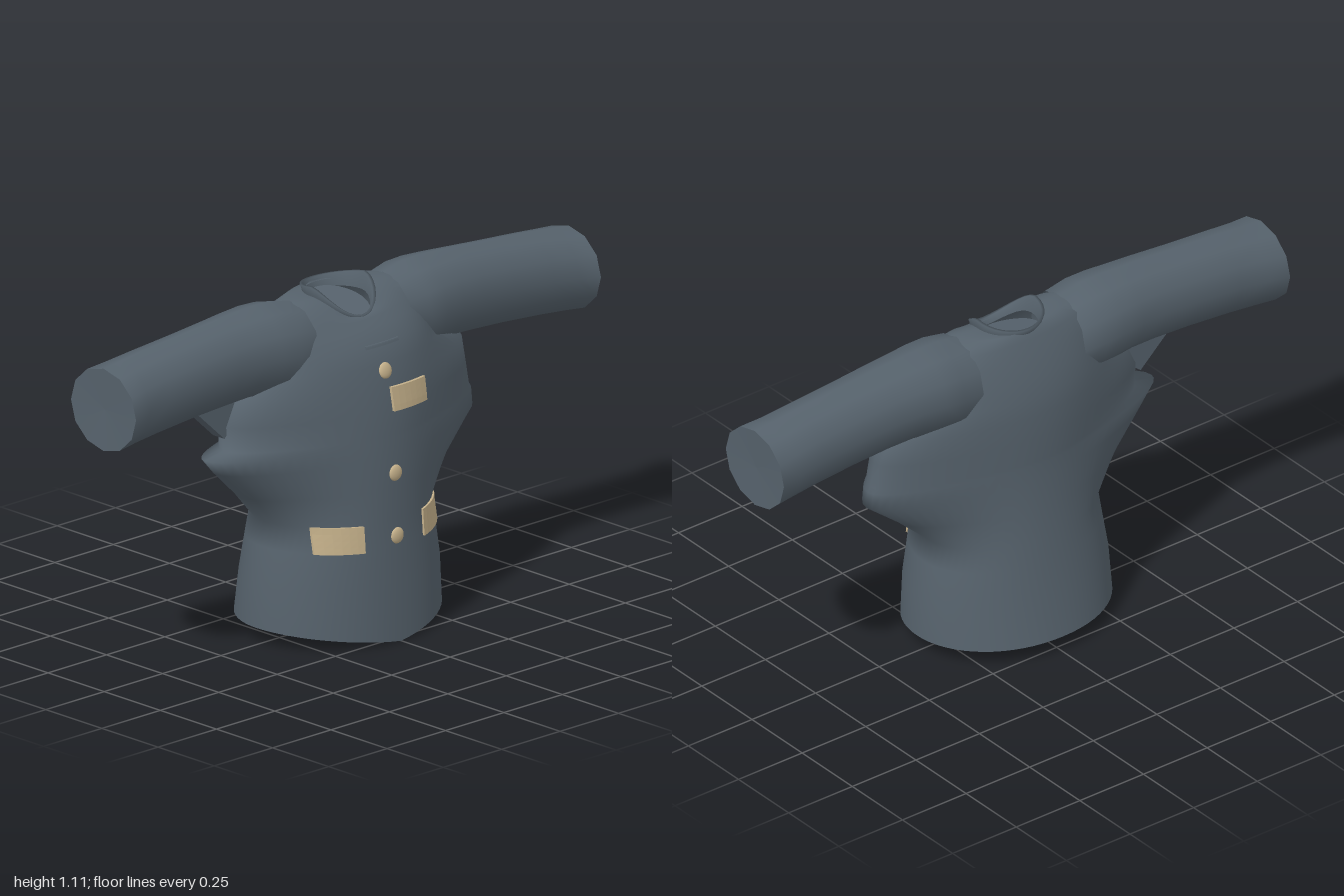
import * as THREE from 'three';

const cloth = new THREE.MeshStandardMaterial({ color: 0x56626c, side: THREE.DoubleSide });
const tan = new THREE.MeshStandardMaterial({ color: 0xc4b08a });

// Skins a list of closed rings of [x, y, z], leaving out faces wholly hidden
function loft(rings, hidden = () => false) {
  const n = rings[0].length, index = [], points = rings.flat();
  const face = (...f) => { if (!f.every(i => hidden(points[i]))) index.push(...f); };
  for (let r = 0; r < rings.length - 1; r++) {
    for (let i = 0; i < n; i++) {
      const a = r * n + i, b = r * n + (i + 1) % n;
      face(a, a + n, b);
      face(b, a + n, b + n);
    }
  }
  const g = new THREE.BufferGeometry();
  g.setAttribute('position', new THREE.Float32BufferAttribute(points.flat(), 3));
  g.setIndex(index);
  g.computeVertexNormals();
  return g;
}

const ring = (n, f) => Array.from({ length: n }, (_, i) => f(i / n * Math.PI * 2));

function add(parent, name, geometry, material) {
  const m = new THREE.Mesh(geometry, material);
  m.name = name;
  parent.add(m);
  return m;
}

// Body rows: y, half width, front z, back z, left fold, right fold, front dip
const rows = [
  [0.06, 0.35, 0.283, 0.282, 0, 0, 0],
  [0.2, 0.345, 0.275, 0.255, 0, 0, 0],
  [0.32, 0.325, 0.268, 0.237, 0, 0, 0],
  [0.4, 0.305, 0.264, 0.225, 0.01, 0.01, 0],
  [0.5, 0.3, 0.262, 0.212, 0.125, 0.115, 0],
  [0.6, 0.31, 0.256, 0.203, 0.24, 0.21, 0],
  [0.655, 0.31, 0.25, 0.2, 0.235, 0.26, 0],
  [0.67, 0.31, 0.249, 0.2, 0.225, 0.18, 0],
  [0.75, 0.325, 0.24, 0.198, 0.195, 0.17, 0],
  [0.83, 0.345, 0.224, 0.193, 0.16, 0.11, 0],
  [0.89, 0.35, 0.208, 0.184, 0.03, 0.03, 0],
  [0.95, 0.35, 0.186, 0.166, 0, 0, 0],
  [1.01, 0.335, 0.148, 0.144, 0, 0, 0.02],
  [1.06, 0.3, 0.126, 0.12, 0, 0, 0.045],
  [1.088, 0.2, 0.112, 0.106, 0, 0, 0.065],
  [1.083, 0.11, 0.104, 0.1, 0, 0, 0.062],
];

function bodyPoint([y, w, front, back, left, right, dip], a) {
  const c = Math.cos(a), s = Math.sin(a);
  const fold = (c > 0 ? left : -right) * Math.abs(c) ** 3.6;
  const hem = y < 0.1 && s > 0 ? 0.055 * (1 - Math.abs(c)) : 0;
  const x = Math.sign(c) * w * Math.abs(c) ** 0.96 + fold;
  return [x, y - hem - dip * Math.max(0, s) ** 2, s * (s > 0 ? front : back)];
}

// Depth of the front cloth at a given x and y
function frontZ(x, y) {
  let k = 0;
  while (k < rows.length - 2 && rows[k + 1][0] < y) k++;
  const t = (y - rows[k][0]) / (rows[k + 1][0] - rows[k][0]);
  const row = rows[k].map((v, i) => v + (rows[k + 1][i] - v) * t);
  let lo = 0, hi = Math.PI;
  for (let i = 0; i < 30; i++) {
    const mid = (lo + hi) / 2;
    if (bodyPoint(row, mid)[0] > x) lo = mid; else hi = mid;
  }
  return bodyPoint(row, lo)[2];
}

// Thin panel wrapped onto the front cloth
function panel(x, y, w, h, depth, slant = 0) {
  const g = new THREE.BoxGeometry(w, h, depth, 6, 4, 1).toNonIndexed();
  const p = g.attributes.position;
  for (let i = 0; i < p.count; i++) {
    const px = p.getX(i) + x, py = p.getY(i) + y + p.getX(i) * slant;
    p.setXYZ(i, px, py, p.getZ(i) + frontZ(px, py) + depth / 2 + 0.001);
  }
  g.computeVertexNormals();
  return g;
}

// Sleeve rows: x, centre y, radius y, radius z, centre z
const sleeveRows = [
  [0.2, 0.948, 0.142, 0.135, -0.006],
  [0.28, 0.957, 0.149, 0.144, -0.01],
  [0.35, 0.963, 0.145, 0.141, -0.012],
  [0.43, 0.965, 0.139, 0.132, -0.012],
  [0.52, 0.96, 0.138, 0.125, -0.01],
  [0.66, 0.95, 0.136, 0.122, -0.01],
  [0.82, 0.937, 0.136, 0.124, -0.01],
  [0.92, 0.927, 0.135, 0.131, -0.01],
  [0.995, 0.92, 0.134, 0.145, -0.008],
];

function sleeve(name) {
  const group = new THREE.Group();
  group.name = name;
  const rings = sleeveRows.map(([x, cy, ry, rz, cz]) =>
    ring(12, a => [x, cy + ry * Math.sin(a), cz + rz * Math.cos(a)]));
  add(group, 'sleeveTube', loft(rings), cloth);
  // Flat end of the cuff, sunk slightly at its middle
  const end = rings[rings.length - 1];
  add(group, 'cuffEnd', loft([end, end.map(() => [0.99, 0.92, -0.008])]), cloth);
  return group;
}

export function createModel() {
  const coat = new THREE.Group();
  coat.name = 'coat';

  // Body, left open where the sleeves join
  const inSleeve = ([x, y, z]) =>
    Math.abs(x) > 0.21 && ((y - 0.957) / 0.13) ** 2 + ((z + 0.01) / 0.12) ** 2 < 1;
  add(coat, 'body', loft(rows.map(r => ring(64, a => bodyPoint(r, a))), inSleeve), cloth);

  // Mirrored sleeves
  const right = sleeve('rightSleeve');
  right.scale.x = -1;
  coat.add(sleeve('leftSleeve'), right);

  // Loose web of cloth under the right sleeve
  const web = new THREE.Shape([[-0.62, 0.825], [-0.5, 0.715], [-0.42, 0.78], [-0.42, 0.84]]
    .map(p => new THREE.Vector2(...p)));
  const webMesh = add(coat, 'underarmFold',
    new THREE.ExtrudeGeometry(web, { depth: 0.05, bevelEnabled: false }), cloth);
  webMesh.position.z = -0.035;

  // Standing collar, falling to an open notch at the front
  const collar = [[0.108, 0], [0.112, 0.5], [0.118, 1], [0.108, 1], [0.1, 0]].map(([r, t]) =>
    ring(32, a => {
      const s = Math.sin(a), f = Math.max(0, s);
      const low = 1.06 - 0.055 * f ** 2;
      const high = 1.116 - 0.09 * f ** 1.6 - 0.02 * Math.max(0, -s);
      return [r * Math.cos(a), low + (high - low) * t, r * s];
    }));
  add(coat, 'collar', loft(collar), cloth);
  const neck = add(coat, 'neckLining', new THREE.CircleGeometry(0.104, 24), cloth);
  neck.rotation.x = -Math.PI / 2 + 0.3;
  neck.position.y = 1.035;

  // Collar tab and the three pockets
  add(coat, 'collarTab', panel(0.01, 0.948, 0.14, 0.01, 0.004), cloth);
  add(coat, 'chestPocket', panel(0.085, 0.778, 0.165, 0.075, 0.01, -0.04), tan);
  add(coat, 'leftPocket', panel(0.19, 0.358, 0.135, 0.085, 0.008, 0.04), tan);
  add(coat, 'rightPocket', panel(-0.195, 0.358, 0.135, 0.085, 0.008, -0.04), tan);

  // Buttons down the front, leaning with the cloth
  for (const y of [0.87, 0.548, 0.346]) {
    const b = add(coat, 'button', new THREE.SphereGeometry(0.026, 16, 10, 0, Math.PI), tan);
    b.scale.z = 0.4;
    b.rotation.x = -Math.atan2(frontZ(0, y - 0.02) - frontZ(0, y + 0.02), 0.04);
    b.position.set(-0.003, y, frontZ(0, y) + 0.001);
  }
  return coat;
}
